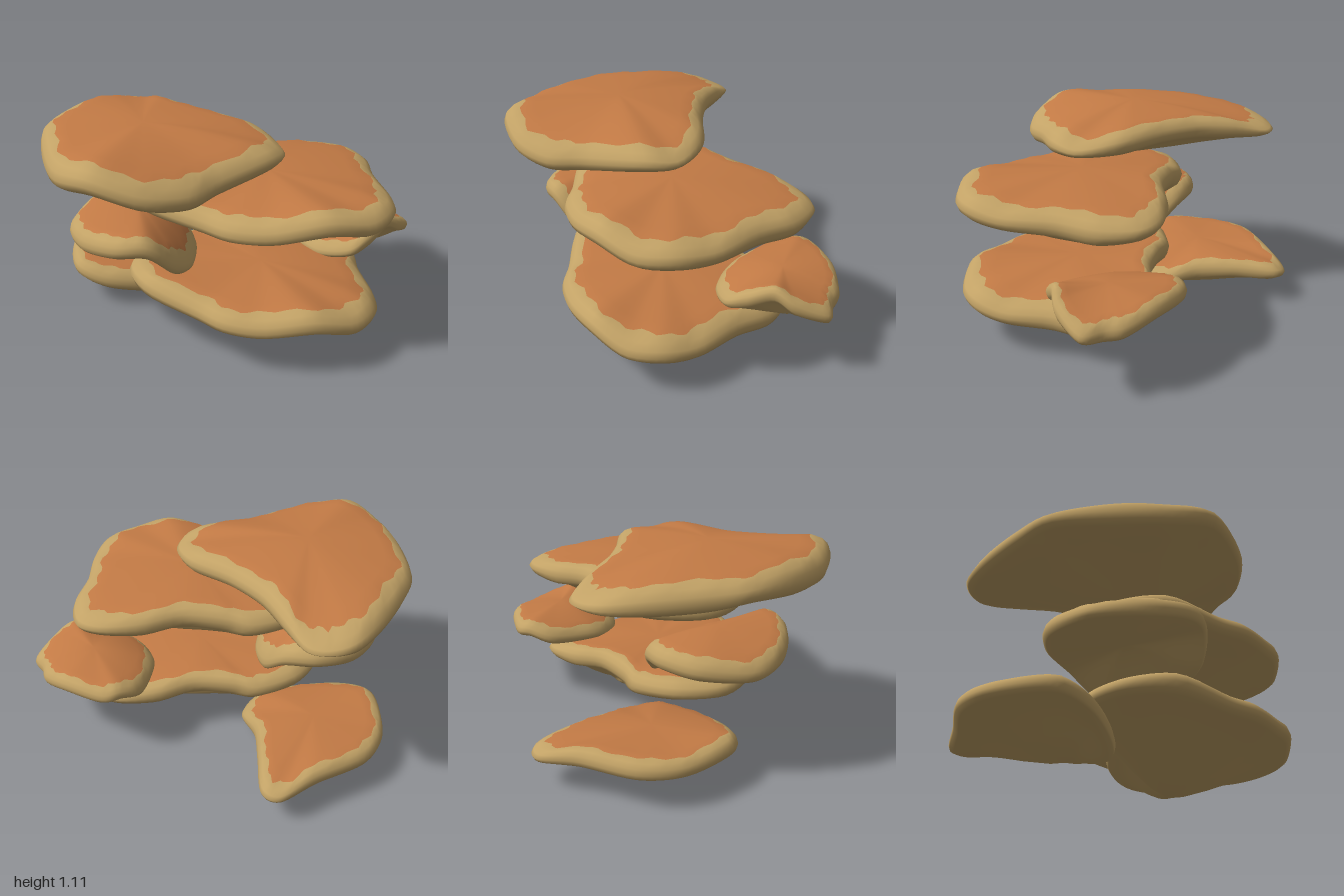
import * as THREE from 'three';

const SEGMENTS = 80;
const PAINT_RING = 4;

// Rings from crown over the rim to keel: [zone, scale from the hub, depth down the rim]
const RINGS = [
  ['top', 0.2], ['top', 0.4], ['top', 0.58], ['top', 0.73], ['paint', 0.855],
  ['rim', 0.93, 0.12], ['rim', 0.98, 0.33], ['rim', 1, 0.6], ['rim', 0.985, 0.85],
  ['under', 0.95], ['under', 0.8], ['under', 0.62], ['under', 0.42], ['under', 0.2],
];

const rise = (s) => Math.sin(s * Math.PI / 2);
const sink = (s) => s * s * (3 - 2 * s);

// A rock slab: rim points [x, z, top y, local thickness] run back, +x, front, -x.
// The top swells to the crown [x, z, y], the underside sinks to the keel [x, z, y].
function buildSlab(name, materials, thickness, crown, keel, rim) {
  const loop = (points) => new THREE.CatmullRomCurve3(points, true, 'catmullrom', 0.45);
  const upper = loop(rim.map(([x, z, y]) => new THREE.Vector3(x, y, z)));
  const lower = loop(rim.map(([x, z, y, thick = thickness]) => new THREE.Vector3(x, y - thick, z)));
  const positions = [crown[0], crown[2], crown[1]];
  for (const [zone, scale, depth] of RINGS) {
    const hub = zone === 'under' ? keel : crown;
    for (let i = 0; i < SEGMENTS; i++) {
      const p = upper.getPoint(i / SEGMENTS);
      const low = lower.getPoint(i / SEGMENTS).y;
      let t = scale;
      // ragged edge of the painted top
      if (zone === 'paint') {
        t += 0.02 * Math.sin(i * 1.7 + crown[0] * 9) + 0.02 * Math.sin(i * 0.67 + crown[2] * 20);
      }
      let y = p.y + (hub[2] - p.y) * rise(1 - t);
      if (zone === 'rim') y += (low - y) * depth;
      if (zone === 'under') y = low + (hub[2] - low) * sink(1 - t);
      positions.push(hub[0] + (p.x - hub[0]) * t, y, hub[1] + (p.z - hub[1]) * t);
    }
  }
  positions.push(keel[0], keel[2], keel[1]);

  // crown fan, bands between rings, keel fan
  const index = [];
  const at = (ring, i) => 1 + ring * SEGMENTS + (i % SEGMENTS);
  const last = RINGS.length - 1;
  const keelIndex = 1 + RINGS.length * SEGMENTS;
  for (let i = 0; i < SEGMENTS; i++) index.push(0, at(0, i + 1), at(0, i));
  for (let r = 0; r < last; r++) {
    for (let i = 0; i < SEGMENTS; i++) {
      index.push(at(r, i), at(r, i + 1), at(r + 1, i + 1));
      index.push(at(r, i), at(r + 1, i + 1), at(r + 1, i));
    }
  }
  for (let i = 0; i < SEGMENTS; i++) index.push(at(last, i), at(last, i + 1), keelIndex);

  const geometry = new THREE.BufferGeometry();
  geometry.setAttribute('position', new THREE.Float32BufferAttribute(positions, 3));
  geometry.setIndex(index);
  // painted top inside the paint ring, bare stone outside it
  const split = 3 * SEGMENTS * (1 + 2 * PAINT_RING);
  geometry.addGroup(0, split, 0);
  geometry.addGroup(split, index.length - split, 1);
  geometry.computeVertexNormals();
  const mesh = new THREE.Mesh(geometry, materials);
  mesh.name = name;
  return mesh;
}

export function createModel() {
  const clay = new THREE.MeshStandardMaterial({ color: 0xc27a45 });
  clay.name = 'orange clay top';
  const stone = new THREE.MeshStandardMaterial({ color: 0xc2a266 });
  stone.name = 'tan stone';
  const materials = [clay, stone];

  const group = new THREE.Group();
  group.name = 'floatingRockSlabs';

  group.add(buildSlab('topSlab', materials, 0.12, [-0.47, 0.14, 1.105], [-0.26, 0.24, 0.83], [
    [-0.62, -0.66, 0.99, 0.05], [-0.51, -0.64, 0.99, 0.05], [-0.4, -0.5, 1.04, 0.09],
    [-0.28, -0.33, 1.06, 0.1], [-0.1, -0.17, 1.06, 0.1], [0.13, -0.01, 1.04, 0.1],
    [0.235, 0.2, 0.99, 0.06], [0.17, 0.37, 1.02, 0.09], [-0.1, 0.56, 0.99, 0.1],
    [-0.24, 0.7, 0.98, 0.1], [-0.45, 0.77, 1.02, 0.11], [-0.69, 0.72, 1.09, 0.12],
    [-0.86, 0.54, 1.06, 0.13], [-0.95, 0.3, 1.07, 0.14], [-1, 0, 1.06, 0.1],
    [-0.95, -0.2, 1.06], [-0.85, -0.43, 1.05], [-0.74, -0.6, 1.02, 0.09],
  ]));

  // two broad slabs share one outline
  const broadRim = [
    [-0.25, -0.23, 0.82], [-0.1, -0.225, 0.84], [0.12, -0.24, 0.85], [0.32, -0.325, 0.83],
    [0.53, -0.355, 0.8, 0.08], [0.67, -0.3, 0.79, 0.08], [0.74, -0.12, 0.8], [0.73, 0.1, 0.81],
    [0.765, 0.36, 0.8, 0.09], [0.73, 0.55, 0.83], [0.6, 0.7, 0.83], [0.39, 0.77, 0.875, 0.12],
    [0.13, 0.755, 0.82], [-0.06, 0.7, 0.81], [-0.2, 0.59, 0.81], [-0.46, 0.4, 0.84, 0.13],
    [-0.56, 0.15, 0.81], [-0.46, -0.1, 0.82],
  ];
  group.add(buildSlab('upperBroadSlab', materials, 0.11,
    [0.15, 0.2, 0.865], [0.42, 0.02, 0.57], broadRim));
  // the lower one is shifted and tips down toward +x
  group.add(buildSlab('lowerBroadSlab', materials, 0.11,
    [0.12, 0.24, 0.355], [0.38, 0.08, 0.04], broadRim.map(([x, z, y, thick]) =>
      [x * 0.97 - 0.035, z * 0.96 + 0.065, y - 0.46 - 0.07 * (x + 0.3), thick])));

  group.add(buildSlab('leftArchSlab', materials, 0.08, [0.65, -0.13, 0.475], [0.8, -0.1, 0.285], [
    [0.42, -0.44, 0.46], [0.52, -0.475, 0.45], [0.73, -0.41, 0.45], [0.88, -0.31, 0.41],
    [0.93, -0.22, 0.4], [1, -0.13, 0.39, 0.06], [0.92, 0.02, 0.47], [0.83, 0.08, 0.52],
    [0.72, 0.16, 0.46], [0.6, 0.2, 0.39, 0.06], [0.43, 0.12, 0.36, 0.06],
    [0.33, -0.06, 0.38, 0.06], [0.335, -0.33, 0.42],
  ]));

  group.add(buildSlab('rightArchSlab', materials, 0.1, [-0.52, 0.18, 0.665], [-0.5, 0.18, 0.54], [
    [-0.58, -0.21, 0.63], [-0.4, -0.18, 0.6], [-0.28, -0.06, 0.48], [-0.22, 0.12, 0.43, 0.06],
    [-0.24, 0.36, 0.44, 0.06], [-0.32, 0.52, 0.54], [-0.45, 0.58, 0.66], [-0.62, 0.55, 0.65],
    [-0.8, 0.38, 0.61], [-0.88, 0.14, 0.58, 0.08], [-0.77, -0.11, 0.62],
  ]));

  group.add(buildSlab('bottomSlab', materials, 0.1, [-0.58, -0.25, 0.25], [-0.45, -0.1, 0], [
    [-0.45, -0.81, 0.21, 0.07], [-0.35, -0.77, 0.22, 0.08], [-0.31, -0.55, 0.23, 0.09],
    [-0.27, -0.33, 0.21], [-0.18, -0.14, 0.14, 0.06], [-0.25, 0.02, 0.16],
    [-0.45, 0.1, 0.18], [-0.72, 0.12, 0.22], [-0.9, 0.02, 0.26], [-0.95, -0.28, 0.25, 0.09],
    [-0.86, -0.5, 0.26], [-0.62, -0.68, 0.26],
  ]));

  return group;
}
